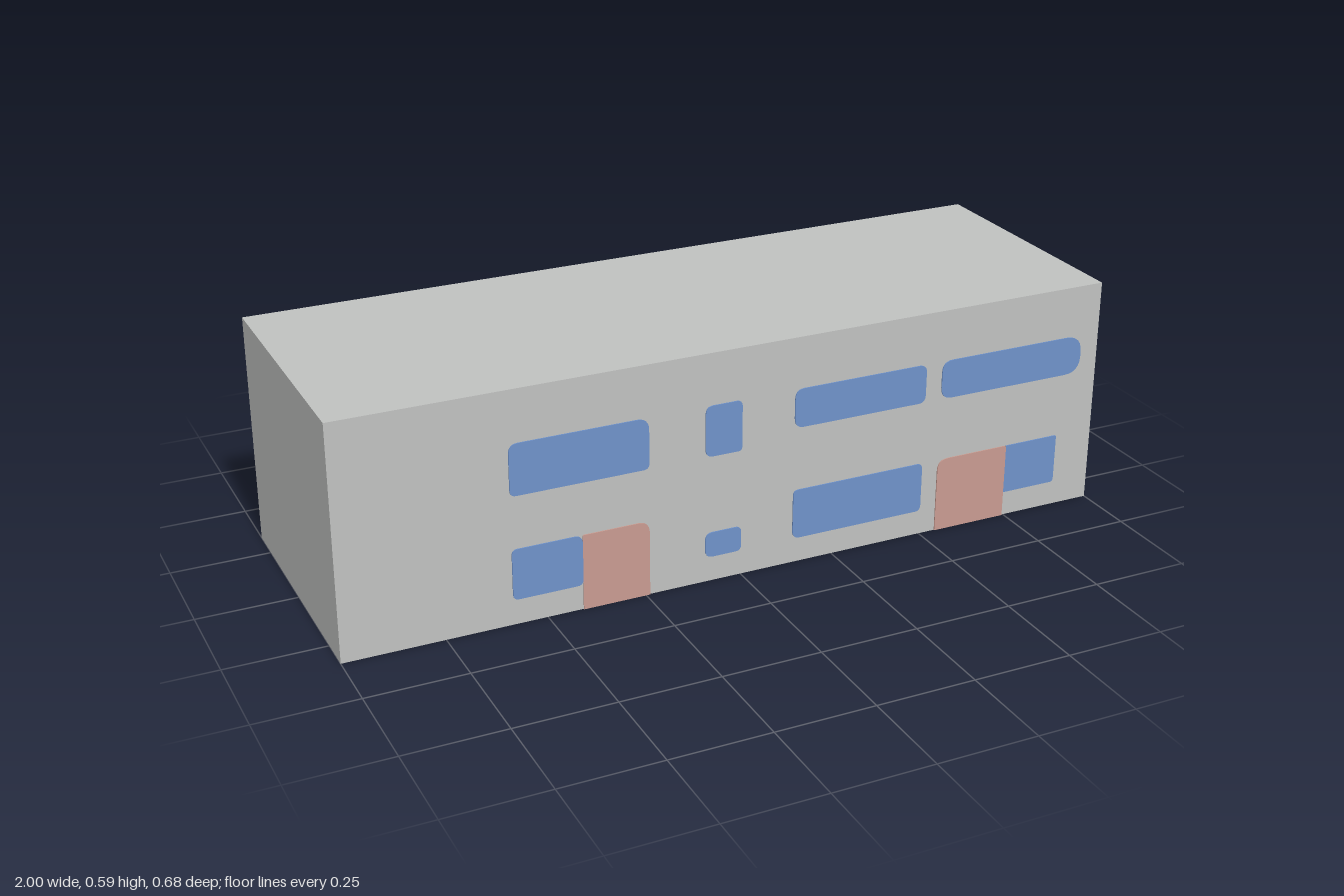
import * as THREE from 'three';

const WIDTH = 2, HEIGHT = 0.592, DEPTH = 0.676, PLATE = 0.003;

const wallGrey = new THREE.MeshStandardMaterial({ color: 0xc0c2c0 });
wallGrey.name = 'wallGrey';
const windowBlue = new THREE.MeshStandardMaterial({ color: 0x6f92ca });
windowBlue.name = 'windowBlue';
const doorRed = new THREE.MeshStandardMaterial({ color: 0xc89b91 });
doorRed.name = 'doorRed';

// Thin plate with corner radii [bottom left, bottom right, top right, top left]
function facadePlate(name, material, [x0, x1, y0, y1], [bl, br, tr, tl]) {
  const s = new THREE.Shape();
  s.moveTo(x0 + bl, y0);
  s.lineTo(x1 - br, y0);
  s.quadraticCurveTo(x1, y0, x1, y0 + br);
  s.lineTo(x1, y1 - tr);
  s.quadraticCurveTo(x1, y1, x1 - tr, y1);
  s.lineTo(x0 + tl, y1);
  s.quadraticCurveTo(x0, y1, x0, y1 - tl);
  s.lineTo(x0, y0 + bl);
  s.quadraticCurveTo(x0, y0, x0 + bl, y0);
  const geometry = new THREE.ExtrudeGeometry(s, { depth: PLATE, bevelEnabled: false, curveSegments: 6 });
  const mesh = new THREE.Mesh(geometry, material);
  mesh.name = name;
  mesh.position.z = DEPTH / 2;
  return mesh;
}

export function createModel() {
  const model = new THREE.Group();
  model.name = 'building';

  // Plain block
  const block = new THREE.Mesh(new THREE.BoxGeometry(WIDTH, HEIGHT, DEPTH), wallGrey);
  block.name = 'walls';
  block.position.y = HEIGHT / 2;
  model.add(block);

  // Windows: upper floor, then ground floor
  const windows = [
    [[-0.585, -0.24, 0.33, 0.46], [0.015, 0.015, 0.03, 0.025]],
    [[-0.095, 0, 0.33, 0.46], [0.02, 0.01, 0.015, 0.02]],
    [[0.14, 0.5, 0.36, 0.46], [0.025, 0.02, 0.02, 0.025]],
    [[0.545, 0.95, 0.36, 0.46], [0.03, 0.045, 0.045, 0.03]],
    [[-0.585, -0.41, 0.065, 0.195], [0.015, 0.015, 0.02, 0.015]],
    [[-0.095, 0, 0.065, 0.13], [0.02, 0.015, 0.015, 0.02]],
    [[0.14, 0.5, 0.065, 0.195], [0.02, 0.015, 0.015, 0.015]],
    [[0.745, 0.895, 0.065, 0.195], [0, 0.01, 0.005, 0]],
  ];
  windows.forEach(([rect, radii], i) =>
    model.add(facadePlate(`${i < 4 ? 'upper' : 'lower'}Window${(i % 4) + 1}`, windowBlue, rect, radii)));

  // Doors
  model.add(facadePlate('rightDoor', doorRed, [-0.41, -0.24, 0, 0.195], [0, 0, 0.03, 0.005]));
  model.add(facadePlate('leftDoor', doorRed, [0.545, 0.745, 0, 0.195], [0, 0, 0.005, 0.03]));

  return model;
}
